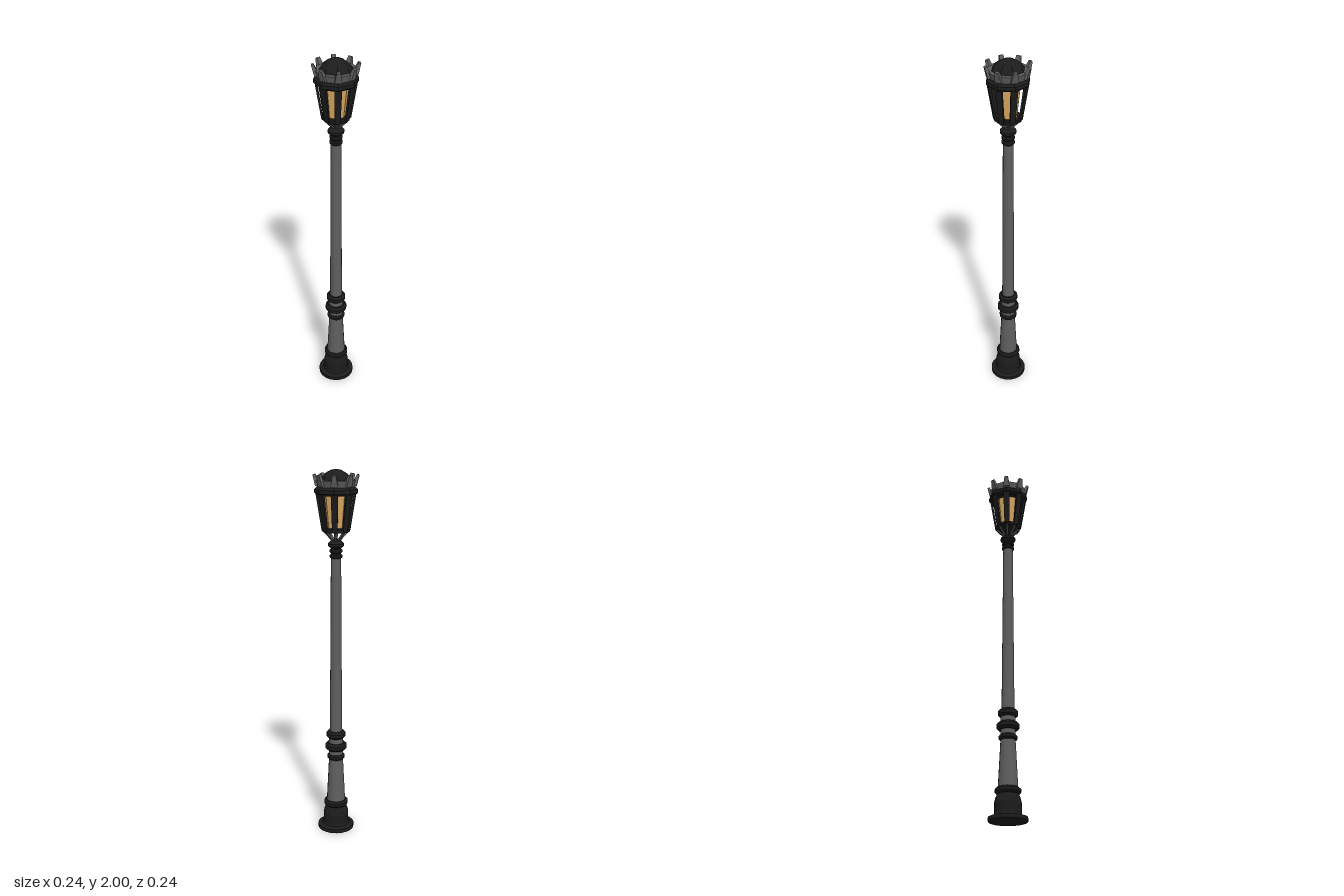
import * as THREE from 'three';

const mat = (color) => new THREE.MeshStandardMaterial({ color, flatShading: true, side: THREE.DoubleSide });

export function createModel() {
  const model = new THREE.Group();
  const black = mat(0x1c1c1c), grey = mat(0x5f5f5f), amber = mat(0xd9a862);

  // Turned part from [radius, height] pairs, bottom to top
  const turned = (name, material, profile, sides = 16) => {
    const pts = profile.map(([r, y]) => new THREE.Vector2(r, y));
    const mesh = new THREE.Mesh(new THREE.LatheGeometry(pts, sides), material);
    mesh.name = name;
    model.add(mesh);
  };

  // Moulded collar with chamfered edges
  const collar = (name, r, inner, y0, y1, sides = 16) => {
    const c = (y1 - y0) * 0.28;
    turned(name, black, [[inner, y0], [r - c, y0], [r, y0 + c], [r, y1 - c], [r - c, y1], [inner, y1]], sides);
  };

  // Eight tapered square bars around the axis, running from [r0, y0] to [r1, y1]
  const barRing = (name, material, [r0, y0], [r1, y1], w0, w1, depth) => {
    const ring = new THREE.Group();
    ring.name = name;
    const length = Math.hypot(r1 - r0, y1 - y0);
    const geo = new THREE.CylinderGeometry(w1 * Math.SQRT1_2, w0 * Math.SQRT1_2, length, 4);
    geo.rotateY(Math.PI / 4);
    geo.scale(1, 1, depth);
    geo.rotateX(Math.atan2(r1 - r0, y1 - y0));
    geo.translate(0, (y0 + y1) / 2, (r0 + r1) / 2);
    for (let i = 0; i < 8; i++) {
      const bar = new THREE.Mesh(geo, material);
      bar.rotation.y = (i * Math.PI) / 4;
      ring.add(bar);
    }
    model.add(ring);
  };

  // Pedestal
  turned('base', black, [[0, 0], [0.1, 0], [0.1, 0.02], [0.075, 0.027], [0.07, 0.035],
    [0.07, 0.09], [0.064, 0.115], [0.055, 0.135], [0.055, 0.15]], 20);
  collar('baseCollar', 0.067, 0.045, 0.135, 0.17);

  // Post
  turned('lowerShaft', grey, [[0.052, 0.16], [0.039, 0.42]]);
  turned('middleShaft', grey, [[0.039, 0.42], [0.039, 0.56]]);
  turned('upperShaft', grey, [[0.034, 0.56], [0.027, 1.55]]);
  collar('lowerCollar', 0.049, 0.03, 0.415, 0.445);
  collar('middleCollar', 0.06, 0.03, 0.47, 0.512);
  collar('upperCollar', 0.053, 0.03, 0.54, 0.582);

  // Neck under the lantern
  collar('neckRingLower', 0.034, 0.02, 1.543, 1.565);
  collar('neckRingUpper', 0.034, 0.02, 1.57, 1.592);
  turned('neck', black, [[0.025, 1.54], [0.025, 1.595], [0.042, 1.607], [0.042, 1.62],
    [0.03, 1.632], [0.02, 1.642], [0, 1.645]]);

  // Lantern
  barRing('supportStruts', grey, [0.018, 1.635], [0.066, 1.685], 0.012, 0.012, 0.6);
  turned('lanternFloor', black, [[0, 1.68], [0.07, 1.68], [0.074, 1.687], [0.074, 1.697], [0.066, 1.702], [0, 1.702]], 8);
  turned('glass', amber, [[0.048, 1.7], [0.068, 1.88]], 8);
  barRing('cornerBars', black, [0.069, 1.69], [0.098, 1.88], 0.028, 0.036, 0.35);
  turned('lanternRim', black, [[0, 1.868], [0.098, 1.868], [0.112, 1.88], [0.112, 1.898], [0.1, 1.91], [0, 1.91]], 8);

  // Crown and roof
  turned('crownBand', grey, [[0.098, 1.908], [0.108, 1.945], [0.084, 1.945], [0.082, 1.91]], 8);
  barRing('crownProngs', grey, [0.094, 1.918], [0.114, 1.973], 0.038, 0.02, 0.65);
  turned('roof', black, [[0.084, 1.91], [0.084, 1.945], [0.072, 1.963], [0.05, 1.982], [0.025, 1.995], [0, 2]], 8);

  return model;
}
